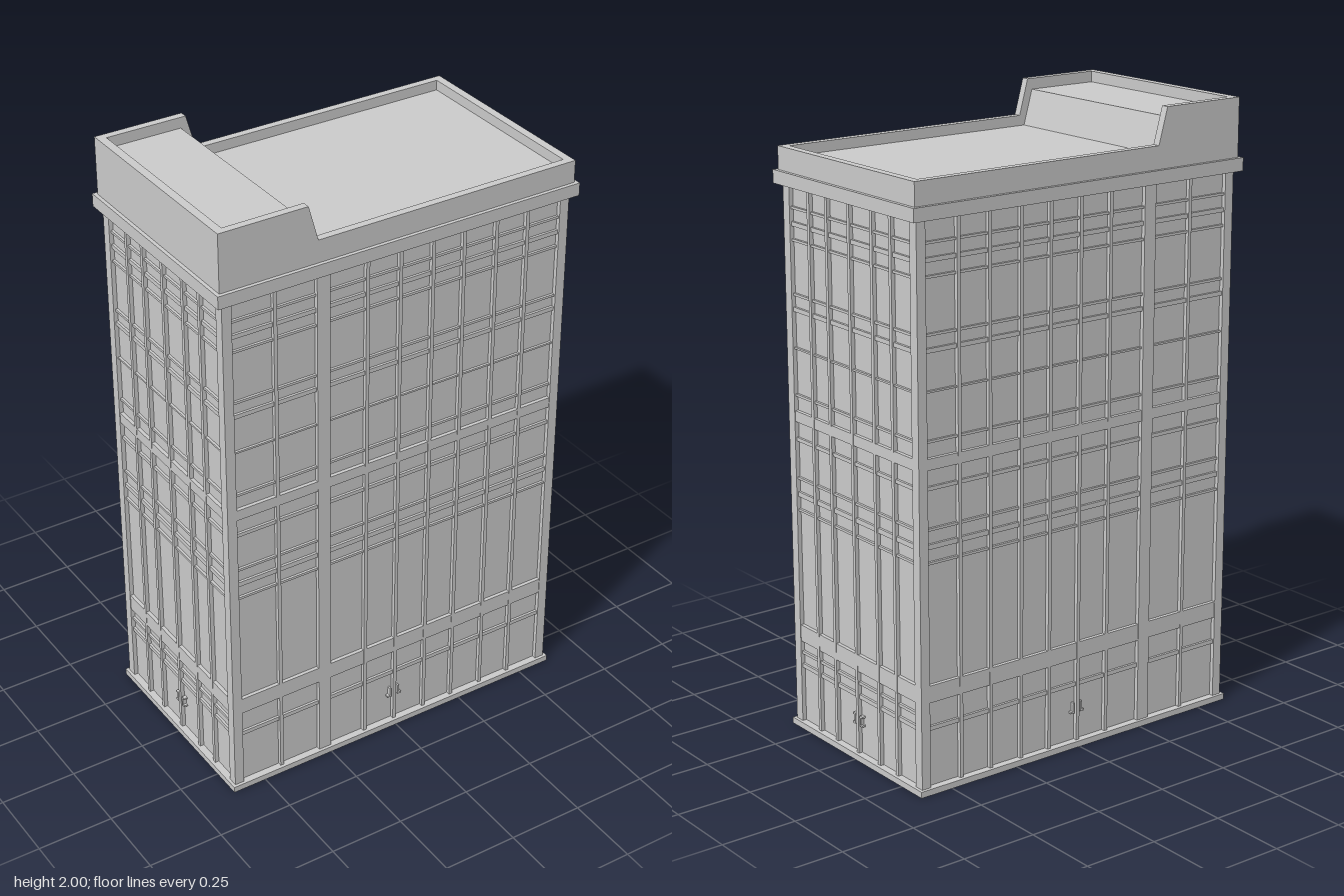
import * as THREE from 'three';

const material = new THREE.MeshStandardMaterial({ color: 0xcccccc, flatShading: true });
const BODY_X = 0.605, BODY_Z = 0.345; // half sizes of the outer wall planes
const RECESS = 0.014;                 // how far the panes sit behind the wall plane
const Y0 = 0.02, Y1 = 1.77;

function mesh(name, geometry, parent) {
  const m = new THREE.Mesh(geometry, material);
  m.name = name;
  parent.add(m);
  return m;
}

// Box given by its limits on each axis
function block(name, parent, x0, x1, y0, y1, z0, z1) {
  const m = mesh(name, new THREE.BoxGeometry(x1 - x0, y1 - y0, z1 - z0), parent);
  m.position.set((x0 + x1) / 2, (y0 + y1) / 2, (z0 + z1) / 2);
  return m;
}

// Slab with an outline in x and y, extruded from z0 to z1
function slab(name, parent, points, z0, z1) {
  const shape = new THREE.Shape(points.map(([x, y]) => new THREE.Vector2(x, y)));
  const g = new THREE.ExtrudeGeometry(shape, { depth: z1 - z0, bevelEnabled: false });
  return mesh(name, g.translate(0, 0, z0), parent);
}

// Window grid on a plane facing +z: [centre, thickness] pairs for rails
const RAILS = [
  [1.70, 0.008], [1.65, 0.014], [1.60, 0.008], [1.43, 0.008], [1.383, 0.014], [1.26, 0.006],
  [1.11, 0.008], [0.967, 0.012], [0.84, 0.008], [0.787, 0.016], [0.735, 0.008], [0.21, 0.014],
];
const BANDS = [[1.06, 1.025], [0.35, 0.295]];

function facade(name, half, wall, mullions, rails) {
  const g = new THREE.Group();
  g.name = name;
  const back = wall - RECESS - 0.005;
  for (const [u, w] of mullions)
    block(w > 0.03 ? 'pilaster' : 'mullion', g, u - w / 2, u + w / 2, Y0, Y1, back, wall - (w > 0.03 ? 0 : 0.001));
  for (const [y, h] of rails)
    block('rail', g, -half, half, y - h / 2, y + h / 2, back, wall - 0.006);
  for (const [top, bottom] of BANDS)
    block('floorBand', g, -half, half, bottom, top, back, wall - 0.002);
  // Pair of bracket shaped door handles beside the middle mullion
  for (const s of [-1, 1]) {
    const bar = (u0, u1, y0, y1) =>
      block('doorHandle', g, Math.min(s * u0, s * u1), Math.max(s * u0, s * u1), y0, y1, wall - RECESS, wall - 0.002);
    bar(0.012, 0.018, 0.113, 0.148);
    bar(0.018, 0.026, 0.113, 0.119);
    if (half < 0.4) bar(0.018, 0.026, 0.142, 0.148);
  }
  return g;
}

export function createModel() {
  const model = new THREE.Group();
  model.name = 'building';

  // Ground slab, recessed core and cornice
  block('base', model, -0.615, 0.615, 0, Y0, -0.355, 0.355);
  block('paneCore', model, -BODY_X + RECESS, BODY_X - RECESS, Y0, Y1, -BODY_Z + RECESS, BODY_Z - RECESS);
  block('cornice', model, -0.627, 0.627, Y1, 1.812, -0.365, 0.365);

  // Corner piers
  for (const sx of [-1, 1]) for (const sz of [-1, 1]) {
    const pier = block('cornerPier', model, 0, BODY_X - 0.573, Y0, Y1, 0, BODY_Z - 0.312);
    pier.position.set(sx * (BODY_X + 0.573) / 2, (Y0 + Y1) / 2, sz * (BODY_Z + 0.312) / 2);
  }

  // Long facades; the back mirrors the front
  const longMullions = [-0.43, -0.115, 0, 0.115, 0.225, 0.342, 0.455].map(u => [u, 0.012]);
  longMullions.push([-0.268, 0.044]);
  model.add(facade('frontFacade', 0.573, BODY_Z, longMullions, RAILS));
  const rear = facade('backFacade', 0.573, BODY_Z, longMullions.map(([u, w]) => [-u, w]), RAILS);
  rear.rotation.y = Math.PI;
  model.add(rear);

  // Short facades
  const shortMullions = [-0.212, -0.117, 0, 0.117, 0.212].map(u => [u, 0.013]);
  for (const s of [-1, 1]) {
    const side = facade(s > 0 ? 'leftFacade' : 'rightFacade', 0.312, BODY_X, shortMullions, [...RAILS, [0.255, 0.01]]);
    side.rotation.y = s * Math.PI / 2;
    model.add(side);
  }

  // Stepped roof deck inside the parapet
  slab('roofDeck', model,
    [[-0.588, 1.812], [0.588, 1.812], [0.588, 1.852], [-0.308, 1.852], [-0.34, 1.965], [-0.588, 1.965]],
    -0.328, 0.328);

  // Parapet walls following the step
  const outline = [[-0.615, 1.812], [0.615, 1.812], [0.615, 1.885], [-0.29, 1.885], [-0.322, 2], [-0.615, 2]];
  slab('parapetFront', model, outline, 0.328, 0.353);
  slab('parapetBack', model, outline, -0.353, -0.328);
  block('parapetHighEnd', model, -0.615, -0.588, 1.812, 2, -0.328, 0.328);
  block('parapetLowEnd', model, 0.588, 0.615, 1.812, 1.885, -0.328, 0.328);

  return model;
}
